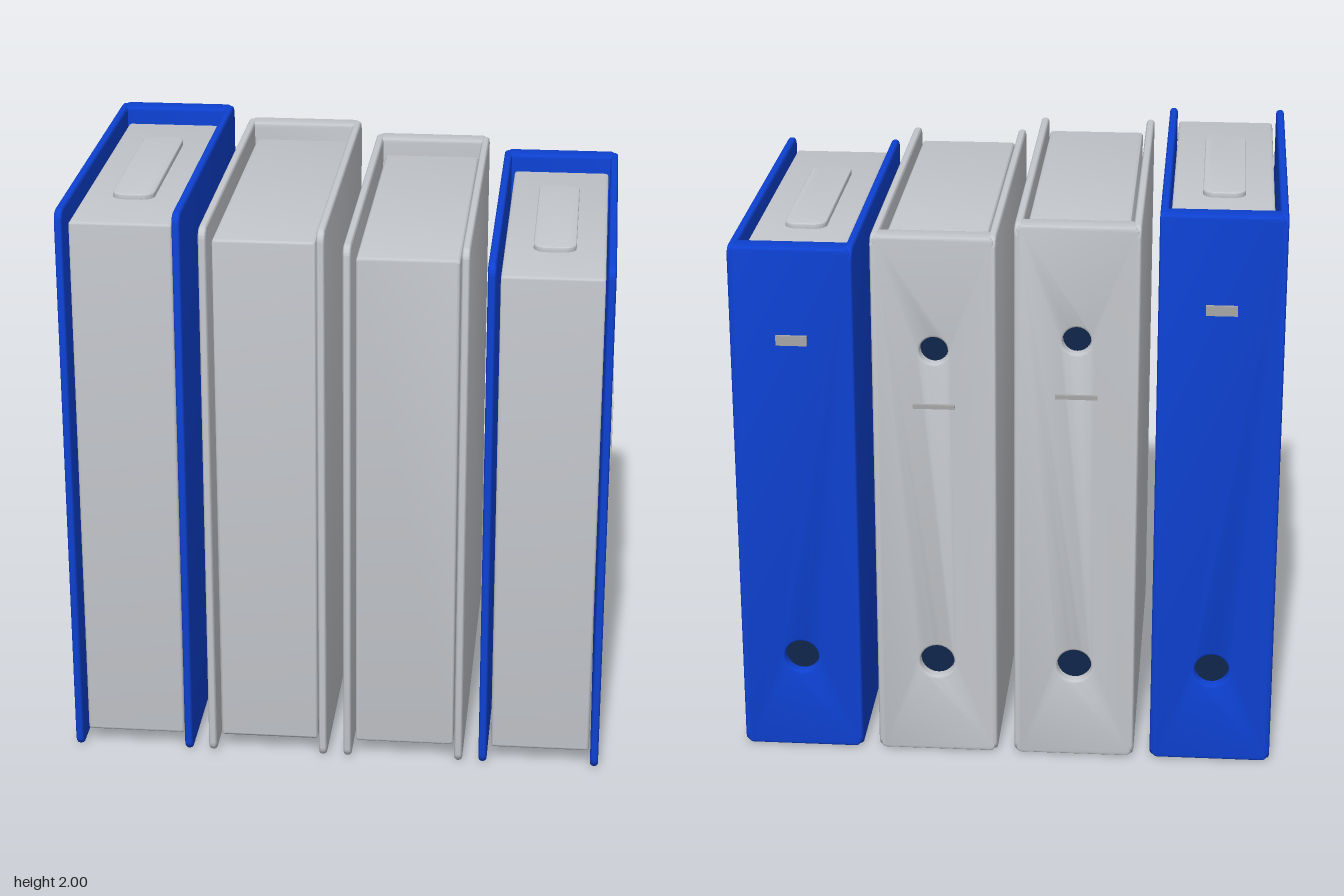
import * as THREE from 'three';
import { toCreasedNormals } from 'three/addons/utils/BufferGeometryUtils.js';

const paint = (name, color) => {
  const m = new THREE.MeshStandardMaterial({ color });
  m.name = name;
  return m;
};

// Rounded slab centred on the origin: w by h in XY, d deep in Z, corner radius r, edge bevel b.
// Holes are [y, radius] pairs on the vertical centre line.
function slab(w, h, d, r, b, holes = []) {
  const x = w / 2 - b, y = h / 2 - b, c = Math.max(r - b, 0.002);
  const s = new THREE.Shape();
  s.moveTo(-x + c, -y);
  s.lineTo(x - c, -y);
  s.absarc(x - c, -y + c, c, -Math.PI / 2, 0);
  s.lineTo(x, y - c);
  s.absarc(x - c, y - c, c, 0, Math.PI / 2);
  s.lineTo(-x + c, y);
  s.absarc(-x + c, y - c, c, Math.PI / 2, Math.PI);
  s.lineTo(-x, -y + c);
  s.absarc(-x + c, -y + c, c, Math.PI, Math.PI * 1.5);
  for (const [hy, hr] of holes) {
    const p = new THREE.Path();
    p.absarc(0, hy, hr + b, 0, Math.PI * 2, true);
    s.holes.push(p);
  }
  const g = new THREE.ExtrudeGeometry(s, {
    depth: d - 2 * b, bevelEnabled: true, bevelSize: b, bevelThickness: b,
    bevelSegments: 3, curveSegments: 12,
  });
  g.translate(0, 0, -d / 2 + b);
  return toCreasedNormals(g, 0.6);
}

export function createModel() {
  const blue = paint('binder blue', 0x0d41d2);
  const grey = paint('light grey', 0xc4c7cc);
  const metal = paint('fitting grey', 0xa6a6a6);
  const navy = paint('hole navy', 0x10264a);

  const model = new THREE.Group();
  model.name = 'binders';
  const W = 0.42, BACK = -0.68, FRONT = 0.688;

  const add = (parent, name, geo, mat, x, y, z) => {
    const m = new THREE.Mesh(geo, mat);
    m.name = name;
    m.position.set(x, y, z);
    parent.add(m);
    return m;
  };

  function binder(name, x, H, mat, padded) {
    const g = new THREE.Group();
    g.name = name;
    g.position.x = x;
    model.add(g);

    // Side covers
    const cover = slab(FRONT - BACK, H, 0.028, 0.04, 0.012).rotateY(Math.PI / 2);
    for (const s of [1, -1]) {
      add(g, s > 0 ? 'leftCover' : 'rightCover', cover, mat,
        s * (W / 2 - 0.014), H / 2, (FRONT + BACK) / 2);
    }

    // Spine with finger hole, plus an upper hole on the plain binders
    const holes = [[0.35, 0.06]];
    if (!padded) holes.push([H - 0.4, 0.048]);
    const spine = slab(W - 0.016, H - 0.006, 0.085, 0.02, 0.008,
      holes.map(([y, r]) => [y - H / 2, r]));
    add(g, 'spine', spine, mat, 0, H / 2, BACK + 0.0425);
    for (const [y, r] of holes) {
      const plug = new THREE.CylinderGeometry(r + 0.004, r + 0.004, 0.04, 32).rotateX(Math.PI / 2);
      add(g, 'holeLining', plug, navy, 0, y, BACK + 0.06);
    }

    // Block of pages
    add(g, 'pages', slab(0.345, H - 0.103, 1.2, 0.012, 0.01), grey, 0.004, H / 2 + 0.003, 0.053);

    if (padded) {
      // Rounded pad on top of the pages and small plate on the spine
      const pad = slab(0.145, 0.71, 0.03, 0.045, 0.004).rotateX(-Math.PI / 2);
      add(g, 'topPad', pad, grey, 0.002, H - 0.045, 0.035);
      add(g, 'spinePlate', new THREE.BoxGeometry(0.105, 0.034, 0.02), metal, 0, H - 0.325, BACK - 0.002);
    } else {
      // Thin bar on the spine
      add(g, 'spineBar', new THREE.BoxGeometry(0.142, 0.014, 0.02), metal, 0, H - 0.597, BACK - 0.002);
    }
    return g;
  }

  binder('tallBlueBinder', -0.725, 2.0, blue, true);
  binder('tallGreyBinder', -0.247, 1.953, grey, false);
  binder('shortGreyBinder', 0.232, 1.905, grey, false);
  const last = binder('shortBlueBinder', 0.71, 1.856, blue, true);

  // Label on the outer cover
  const label = slab(0.365, 0.277, 0.012, 0.008, 0.002).rotateY(Math.PI / 2);
  add(last, 'coverLabel', label, grey, W / 2 + 0.003, 1.113, 0.103);

  return model;
}
